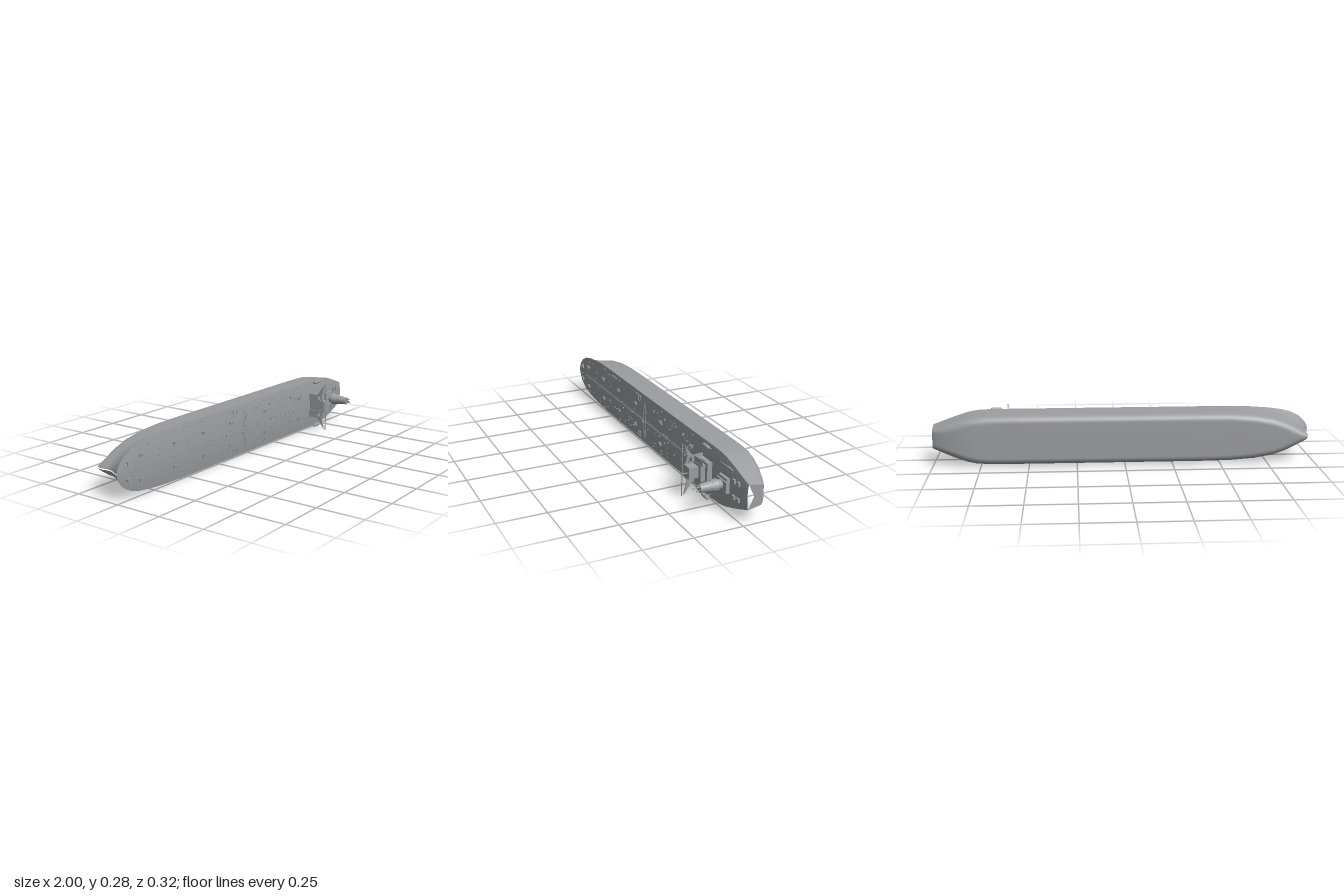
import * as THREE from 'three';

const MID = 0.14; // centreline height: the ship lies with its deck facing +z
const lerp = THREE.MathUtils.lerp;

// station: x, deck half beam, bilge half beam, deck edge z, keel z, bilge radius
const STATIONS = [
  [-1.0, 0.003, 0.003, 0.002, -0.158, 0.003],
  [-0.994, 0.025, 0.01, 0.002, -0.16, 0.01],
  [-0.98, 0.048, 0.019, 0.002, -0.161, 0.018],
  [-0.95, 0.077, 0.036, 0.001, -0.162, 0.03],
  [-0.9, 0.102, 0.06, -0.001, -0.162, 0.038],
  [-0.85, 0.115, 0.08, -0.003, -0.162, 0.04],
  [-0.78, 0.125, 0.101, -0.004, -0.162, 0.04],
  [-0.68, 0.133, 0.118, -0.005, -0.162, 0.038],
  [-0.55, 0.137, 0.127, -0.005, -0.162, 0.036],
  [-0.4, 0.137, 0.129, -0.005, -0.162, 0.036],
  [0.55, 0.137, 0.129, -0.005, -0.162, 0.036],
  [0.7, 0.137, 0.128, -0.006, -0.162, 0.037],
  [0.77, 0.134, 0.124, -0.008, -0.162, 0.04],
  [0.82, 0.125, 0.115, -0.01, -0.158, 0.042],
  [0.88, 0.106, 0.096, -0.013, -0.148, 0.042],
  [0.94, 0.085, 0.074, -0.016, -0.129, 0.036],
  [0.98, 0.07, 0.06, -0.018, -0.111, 0.028],
  [1.0, 0.063, 0.053, -0.02, -0.096, 0.02],
];

// raked stem above a rounded forefoot
const STEM = [[0.01, 0], [-0.03, 0.018], [-0.06, 0.034], [-0.09, 0.04], [-0.12, 0.032], [-0.145, 0.034], [-0.17, 0.05]];
function stemShift(x, z) {
  const k = Math.max(0, (-0.8 - x) / 0.2);
  for (let i = 1; i < STEM.length; i++) {
    const [z0, s0] = STEM[i - 1], [z1, s1] = STEM[i];
    if (z >= z1) return k * lerp(s0, s1, (z - z0) / (z1 - z0));
  }
  return k * 0.05;
}

function section([x, deck, low, top, keel, r]) {
  const half = [];
  const turn = keel + r;
  const flare = x < -0.7 ? 0.65 : 1;
  for (let i = 0; i <= 8; i++) {
    const f = i / 8;
    half.push([lerp(deck, low, Math.pow(f, flare)), lerp(top, turn, f)]);
  }
  for (let i = 1; i <= 6; i++) {
    const a = (i / 6) * Math.PI / 2;
    half.push([low - r + r * Math.cos(a), turn - r * Math.sin(a)]);
  }
  const ring = [...half, [0, keel], ...half.slice().reverse().map(([w, z]) => [-w, z])];
  return ring.map(([w, z]) => new THREE.Vector3(x + stemShift(x, z), MID + w, z));
}

// smooth surface through rows of points
function loft(rows) {
  const n = rows[0].length, index = [];
  for (let i = 0; i < rows.length - 1; i++) {
    for (let j = 0; j < n - 1; j++) {
      const a = i * n + j, b = a + n;
      index.push(a, b, a + 1, b, b + 1, a + 1);
    }
  }
  const g = new THREE.BufferGeometry().setFromPoints(rows.flat());
  g.setIndex(index);
  g.computeVertexNormals();
  return g;
}

const CAMBER = 0.011;
function deckZ(x, y) {
  let i = 1;
  while (i < STATIONS.length - 1 && STATIONS[i][0] < x) i++;
  const a = STATIONS[i - 1], b = STATIONS[i], t = (x - a[0]) / (b[0] - a[0]);
  const w = lerp(a[1], b[1], t), v = (y - MID) / w;
  return lerp(a[3], b[3], t) + CAMBER * (w / 0.137) * (1 - v * v);
}

export function createModel() {
  const ship = new THREE.Group();
  ship.name = 'tanker';
  const grey = new THREE.MeshStandardMaterial({ color: 0x9c9da1 });
  grey.name = 'hull grey';

  const add = (name, geo, parent = ship) => {
    const m = new THREE.Mesh(geo, grey);
    m.name = name;
    parent.add(m);
    return m;
  };
  const group = (name) => {
    const g = new THREE.Group();
    g.name = name;
    ship.add(g);
    return g;
  };
  // box standing on height z
  const box = (name, x, y, z, sx, sy, sz, parent) => {
    const m = add(name, new THREE.BoxGeometry(sx, sy, sz), parent);
    m.position.set(x, y, z + sz / 2);
    return m;
  };
  const rod = (name, a, b, r0, r1 = r0, parent = ship, sides = 8) => {
    const p = new THREE.Vector3(...a), q = new THREE.Vector3(...b), d = q.clone().sub(p);
    const m = add(name, new THREE.CylinderGeometry(r1, r0, d.length(), sides), parent);
    m.position.copy(p).add(q).multiplyScalar(0.5);
    m.quaternion.setFromUnitVectors(new THREE.Vector3(0, 1, 0), d.normalize());
    return m;
  };
  const onDeck = (name, x, y, sx, sy, sz, parent) => box(name, x, y, deckZ(x, y) - 0.001, sx, sy, sz, parent);

  // hull, deck and transom
  const rings = STATIONS.map(section);
  add('hull', loft(rings));
  add('deck', loft(STATIONS.map(([x, w, , z]) => Array.from({ length: 13 }, (_, j) => {
    const v = j / 6 - 1;
    return new THREE.Vector3(x, MID + w * v, z + CAMBER * (w / 0.137) * (1 - v * v));
  }))));
  const last = rings[rings.length - 1];
  add('transom', loft([last, last.map(() => new THREE.Vector3(1, MID, -0.05))]));

  // accommodation block
  const house = group('deckhouse');
  box('houseBase', 0.665, MID, 0, 0.09, 0.11, 0.03, house);
  box('houseMiddle', 0.655, MID, 0.03, 0.07, 0.084, 0.025, house);
  box('houseUpper', 0.645, MID, 0.055, 0.05, 0.056, 0.045, house);
  box('bridgeRoof', 0.643, MID, 0.1, 0.054, 0.062, 0.006, house);
  box('bridgeRail', 0.617, MID, 0.1135, 0.005, 0.27, 0.003, house);
  rod('radarMast', [0.655, MID, 0.1], [0.655, MID, 0.145], 0.003, 0.0015, house);
  rod('radarBar', [0.655, MID - 0.016, 0.128], [0.655, MID + 0.016, 0.128], 0.0015, 0.0015, house);
  for (const s of [-1, 1]) {
    // tapered wing bracket with an open panel
    const pt = (w, z) => new THREE.Vector2(MID + s * w, z);
    const wing = new THREE.Shape([pt(0.13, 0.105), pt(0.068, 0.06), pt(0.07, 0.005), pt(0.03, 0.005), pt(0.024, 0.1), pt(0.07, 0.088)]);
    wing.holes.push(new THREE.Path([pt(0.062, 0.075), pt(0.058, 0.06), pt(0.04, 0.065), pt(0.036, 0.085)]));
    const geo = new THREE.ExtrudeGeometry(wing, { depth: 0.007, bevelEnabled: false });
    geo.applyMatrix4(new THREE.Matrix4().set(0, 0, 1, 0.613, 1, 0, 0, 0, 0, 1, 0, 0, 0, 0, 0, 1));
    add('bridgeWing', geo, house);
    rod('wingPost', [0.617, MID + s * 0.128, 0.1], [0.617, MID + s * 0.128, 0.115], 0.0012, 0.0012, house);
    rod('wingStrut', [0.62, MID + s * 0.07, 0.06], [0.7, MID + s * 0.05, 0.005], 0.002, 0.002, house);
    box('sideGallery', 0.665, MID + s * 0.055, 0.05, 0.08, 0.03, 0.003, house);

    // lifeboats on davits
    const boat = add('lifeboat', new THREE.CapsuleGeometry(0.009, 0.042, 6, 12));
    boat.rotation.z = Math.PI / 2;
    boat.position.set(0.673, MID + s * 0.13, 0.019);
    for (const x of [0.655, 0.69]) rod('davit', [x, MID + s * 0.117, -0.004], [x, MID + s * 0.125, 0.026], 0.002);
  }

  // funnel with exhaust pipes
  const funnel = group('funnel');
  box('engineCasing', 0.825, MID, -0.008, 0.075, 0.075, 0.022, funnel);
  box('casingTop', 0.827, MID, 0.014, 0.09, 0.05, 0.008, funnel);
  rod('funnelNeck', [0.825, MID, 0.02], [0.825, MID, 0.046], 0.022, 0.026, funnel, 20);
  rod('funnelBody', [0.825, MID, 0.046], [0.825, MID, 0.074], 0.033, 0.028, funnel, 20);
  rod('funnelStack', [0.825, MID, 0.074], [0.825, MID, 0.135], 0.027, 0.02, funnel, 20);
  for (const [dx, dy, h] of [[-0.008, 0, 0.162], [0.006, 0.01, 0.15], [0.006, -0.01, 0.15], [-0.006, 0.012, 0.145]]) {
    rod('exhaustPipe', [0.825 + dx, MID + dy, 0.13], [0.825 + dx, MID + dy, h], 0.003, 0.003, funnel);
  }
  box('sternCrossbar', 0.83, 0.228, -0.008, 0.11, 0.003, 0.008);

  // cargo piping
  const piping = group('cargoPiping');
  for (const dy of [-0.004, 0.004]) rod('centrePipe', [-0.88, MID + dy, 0.008], [0.6, MID + dy, 0.008], 0.0015, 0.0015, piping, 6);
  for (const x of [-0.04, -0.02]) {
    for (const s of [-1, 1]) rod('manifoldPipe', [x, MID, 0.01], [x, MID + s * 0.1, 0.006], 0.002, 0.002, piping, 6);
  }
  onDeck('storedBoom', -0.455, 0.255, 0.07, 0.004, 0.007, piping);

  // deck fittings mirrored about the centreline
  const fittings = group('deckFittings');
  for (const s of [-1, 1]) {
    // square coamings
    for (const [dx, dy, sx, sy] of [[-0.014, 0, 0.003, 0.03], [0.014, 0, 0.003, 0.03], [0, -0.014, 0.03, 0.003], [0, 0.014, 0.03, 0.003]]) {
      onDeck('coaming', -0.11 + dx, MID + s * 0.103 + dy, sx, sy, 0.005, fittings);
    }
    for (const x of [-0.84, -0.6, -0.38, -0.15, 0.16, 0.5]) {
      for (const dx of [-0.007, 0.007]) onDeck('mooringWinch', x + dx, MID + s * 0.06, 0.009, 0.014, 0.01, fittings);
      onDeck('bollard', x, MID + s * 0.118 * (x < -0.8 ? 0.8 : 1), 0.012, 0.005, 0.006, fittings);
    }
    for (const x of [-0.93, 0.9, 0.935]) onDeck('windlass', x, MID + s * 0.04, 0.018, 0.02, 0.011, fittings);
    rod('anchorPipe', [-0.95, MID + s * 0.03, 0.006], [-0.92, MID + s * 0.045, 0.008], 0.004, 0.004, fittings);
  }

  // small hatches and vents
  let seed = 7;
  const rand = () => (seed = (seed * 16807) % 2147483647) / 2147483647;
  for (let i = 0; i < 90; i++) {
    const x = lerp(-0.78, 0.57, rand()), y = MID + lerp(-0.115, 0.115, rand());
    const size = lerp(0.003, 0.007, rand());
    onDeck('vent', x, y, size, size, lerp(0.004, 0.01, rand()), fittings);
  }
  rod('foremast', [-0.92, MID, 0.006], [-0.92, MID, 0.024], 0.002, 0.001);
  return ship;
}
